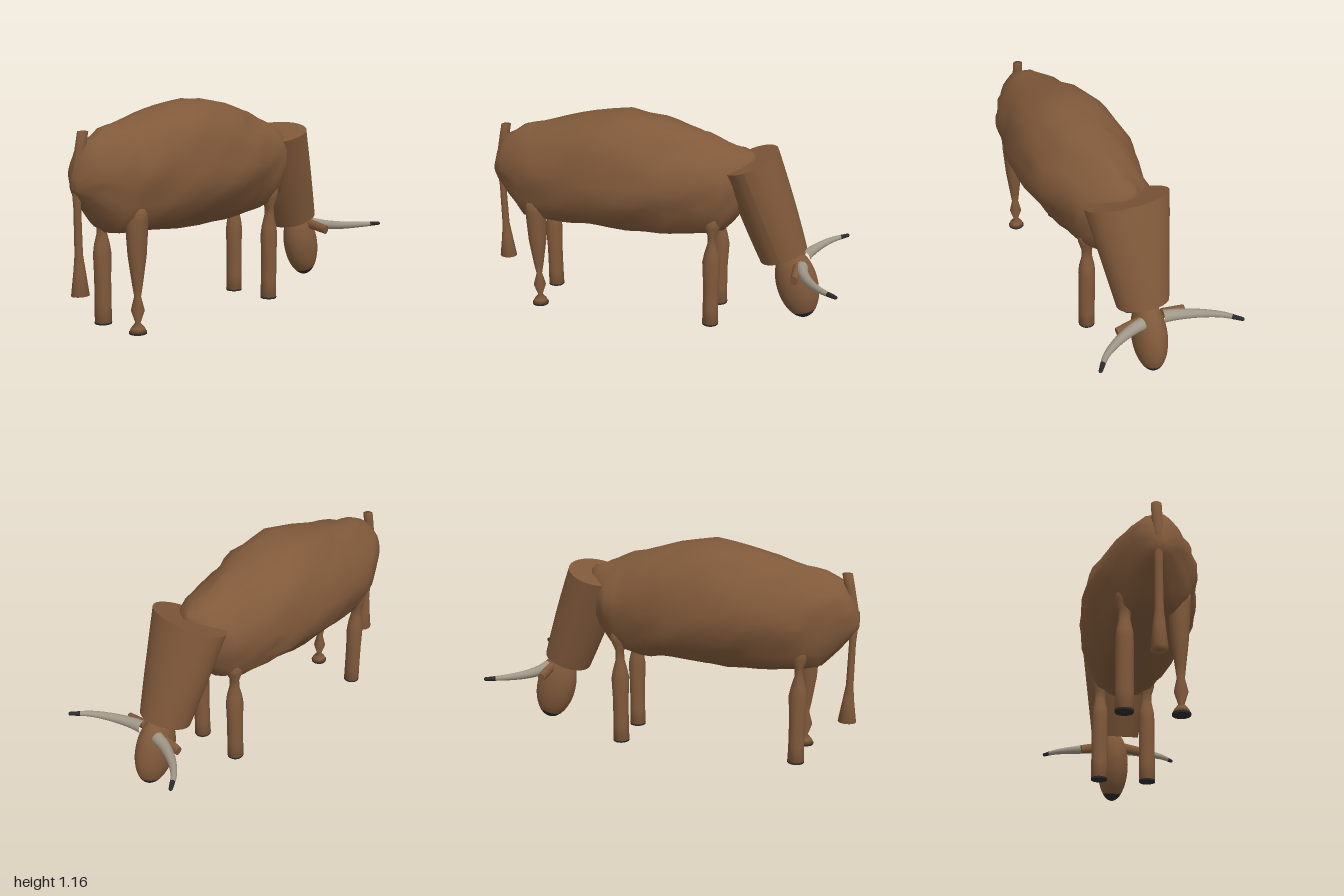
import * as THREE from 'three';

const hide = new THREE.MeshStandardMaterial({ color: 0x80593a });
hide.name = 'brownHide';
const dark = new THREE.MeshStandardMaterial({ color: 0x2b2b2d });
dark.name = 'darkHorn';
const bone = new THREE.MeshStandardMaterial({ color: 0xa09888 });
bone.name = 'paleHorn';

function add(group, name, geometry, material) {
  const mesh = new THREE.Mesh(geometry, material);
  mesh.name = name;
  group.add(mesh);
  return mesh;
}

// Skin over rings of points, closed at both ends by centre points
function loft(rings) {
  const n = rings[0].length, pos = [], index = [];
  rings.forEach(r => r.forEach(p => pos.push(...p)));
  for (let i = 0; i < rings.length - 1; i++) {
    for (let j = 0; j < n; j++) {
      const a = i * n + j, b = i * n + (j + 1) % n;
      index.push(a, b, a + n, b, b + n, a + n);
    }
  }
  [0, rings.length - 1].forEach((i, end) => {
    const c = pos.length / 3;
    for (let k = 0; k < 3; k++) pos.push(rings[i].reduce((s, p) => s + p[k], 0) / n);
    for (let j = 0; j < n; j++) {
      const a = i * n + j, b = i * n + (j + 1) % n;
      index.push(...(end ? [a, b, c] : [b, a, c]));
    }
  });
  const g = new THREE.BufferGeometry();
  g.setAttribute('position', new THREE.Float32BufferAttribute(pos, 3));
  g.setIndex(index);
  g.computeVertexNormals();
  return g;
}

// Upright limb, listed from top to bottom: [x, y, z, radiusX, radiusZ]
const limb = rows => loft(rows.map(([x, y, z, rx, rz]) =>
  Array.from({ length: 16 }, (_, j) => {
    const a = j / 16 * Math.PI * 2;
    return [x + rx * Math.cos(a), y, z + rz * Math.sin(a)];
  })));

const hash = (i, j) => {
  const s = Math.sin(i * 12.9898 + j * 78.233) * 43758.5453;
  return s - Math.floor(s) - 0.5;
};

// Lumpy trunk: x, top, bottom, half width
function bodyGeometry() {
  const rows = [
    [-0.985, 0.81, 0.73, 0.03], [-0.95, 0.91, 0.68, 0.085], [-0.9, 0.975, 0.62, 0.125],
    [-0.8, 1.025, 0.51, 0.185], [-0.7, 1.045, 0.49, 0.23], [-0.55, 1.085, 0.485, 0.265],
    [-0.4, 1.125, 0.48, 0.29], [-0.2, 1.165, 0.465, 0.305], [0, 1.125, 0.48, 0.295],
    [0.12, 1.09, 0.485, 0.265], [0.25, 1.05, 0.495, 0.235], [0.35, 1.01, 0.53, 0.21],
    [0.43, 0.985, 0.62, 0.15], [0.48, 0.97, 0.7, 0.09], [0.505, 0.945, 0.78, 0.03]];
  const n = 28, rings = [];
  for (let i = 0; i < rows.length * 2 - 1; i++) {
    const p = rows[i >> 1], q = rows[(i + 1) >> 1];
    const [x, top, bottom, w] = p.map((v, k) => (v + q[k]) / 2);
    const cy = (top + bottom) / 2, h = (top - bottom) / 2;
    rings.push(Array.from({ length: n }, (_, j) => {
      const a = j / n * Math.PI * 2;
      const k = 1 + 0.075 * hash(i >> 1, j) + 0.02 * Math.sin(5 * a + x * 6);
      return [x, cy + h * k * Math.cos(a), w * k * Math.sin(a)];
    }));
  }
  return loft(rings);
}

// Cone with an oval cross-section that turns rounder towards the head
function neckGeometry() {
  const L = 0.56, g = new THREE.CylinderGeometry(0.23, 0.14, L, 32, 6);
  const p = g.attributes.position;
  for (let i = 0; i < p.count; i++) {
    p.setX(i, p.getX(i) * THREE.MathUtils.lerp(0.94, 0.66, p.getY(i) / L + 0.5));
  }
  g.computeVertexNormals();
  return g;
}

// Curved horn: a tube narrowed along its length, with a dark tip
function hornGeometry(s) {
  const curve = new THREE.CatmullRomCurve3([
    [0.775, 0.365, 0.06], [0.79, 0.362, 0.13], [0.835, 0.364, 0.235],
    [0.905, 0.372, 0.335], [0.985, 0.378, 0.405]].map(([x, y, z]) => new THREE.Vector3(x, y, z * s)));
  const rows = 24, sides = 14, g = new THREE.TubeGeometry(curve, rows, 0.034, sides);
  const p = g.attributes.position, v = new THREE.Vector3();
  for (let i = 0; i < p.count; i++) {
    const t = Math.floor(i / (sides + 1)) / rows;
    const c = curve.getPointAt(t);
    v.fromBufferAttribute(p, i).sub(c).multiplyScalar(1 - 0.7 * t).add(c);
    p.setXYZ(i, v.x, v.y, v.z);
  }
  const split = 21 * sides * 6;
  g.addGroup(0, split, 0);
  g.addGroup(split, (rows * sides * 6) - split, 1);
  return g;
}

export function createModel() {
  const model = new THREE.Group();
  model.name = 'grazingBull';
  add(model, 'body', bodyGeometry(), hide);

  const neck = add(model, 'neck', neckGeometry(), hide);
  neck.position.set(0.57, 0.668, 0);
  neck.rotation.z = 0.36;

  // Head: an egg with its lower end as a dark muzzle
  const head = new THREE.Group();
  head.name = 'head';
  head.position.set(0.75, 0.24, 0);
  head.rotation.z = 0.27;
  head.scale.set(0.115, 0.207, 0.09);
  const cut = 2.5;
  add(head, 'skull', new THREE.SphereGeometry(1, 32, 20, 0, Math.PI * 2, 0, cut), hide);
  add(head, 'muzzle', new THREE.SphereGeometry(1, 32, 6, 0, Math.PI * 2, cut, Math.PI - cut), dark);
  model.add(head);

  for (const s of [1, -1]) {
    const side = s > 0 ? 'right' : 'left';
    add(model, side + 'Horn', hornGeometry(s), [bone, dark]);
    add(model, side + 'HornTip', new THREE.SphereGeometry(0.0105, 12, 8), dark)
      .position.set(0.985, 0.378, 0.405 * s);
    const ear = add(model, side + 'Ear', new THREE.CylinderGeometry(0.9, 1, 1, 12), hide);
    ear.scale.set(0.022, 0.13, 0.03);
    ear.position.set(0.752, 0.353, 0.13 * s);
    ear.rotation.x = s * 1.75;
  }

  // Legs pinched above the knee; one hind leg is pinched at the ankle instead
  const pinchedTop = (x, z) => [
    [x, 0.64, z, 0.06, 0.05], [x, 0.58, z, 0.045, 0.045], [x, 0.53, z, 0.022, 0.03],
    [x, 0.48, z, 0.023, 0.03], [x, 0.42, z, 0.04, 0.042], [x, 0.37, z, 0.05, 0.045],
    [x, 0.24, z, 0.043, 0.045], [x, 0.1, z, 0.043, 0.045], [x, 0.008, z, 0.045, 0.045]];
  const pinchedAnkle = (x, z) => [
    [x, 0.64, z, 0.055, 0.06], [x, 0.58, z, 0.06, 0.058], [x, 0.4, z, 0.05, 0.045],
    [x, 0.25, z, 0.027, 0.027], [x, 0.19, z, 0.015, 0.02], [x, 0.12, z, 0.035, 0.035],
    [x, 0.055, z, 0.012, 0.015], [x, 0.03, z, 0.035, 0.035], [x, 0.008, z, 0.045, 0.045]];
  const legs = [
    ['frontRightLeg', 0.295, 0.135, pinchedTop], ['frontLeftLeg', 0.295, -0.135, pinchedTop],
    ['hindRightLeg', -0.705, 0.135, pinchedAnkle], ['hindLeftLeg', -0.705, -0.135, pinchedTop]];
  for (const [name, x, z, shape] of legs) {
    add(model, name, limb(shape(x, z)), hide);
    add(model, name + 'Hoof', new THREE.CylinderGeometry(0.046, 0.045, 0.009, 20), dark)
      .position.set(x, 0.0045, z);
  }

  // Tail: raised root, hanging length and flared tuft
  add(model, 'tailRoot', limb([
    [-0.915, 1.02, -0.01, 0.027, 0.027], [-0.93, 0.95, -0.01, 0.027, 0.027],
    [-0.955, 0.83, -0.01, 0.026, 0.026], [-0.965, 0.74, -0.01, 0.022, 0.022]]), hide);
  add(model, 'tail', limb([
    [-0.965, 0.82, -0.01, 0.024, 0.024], [-0.958, 0.65, -0.01, 0.018, 0.02],
    [-0.955, 0.42, -0.01, 0.02, 0.022], [-0.952, 0.34, -0.01, 0.03, 0.03],
    [-0.95, 0.215, -0.01, 0.049, 0.042]]), hide);
  return model;
}
